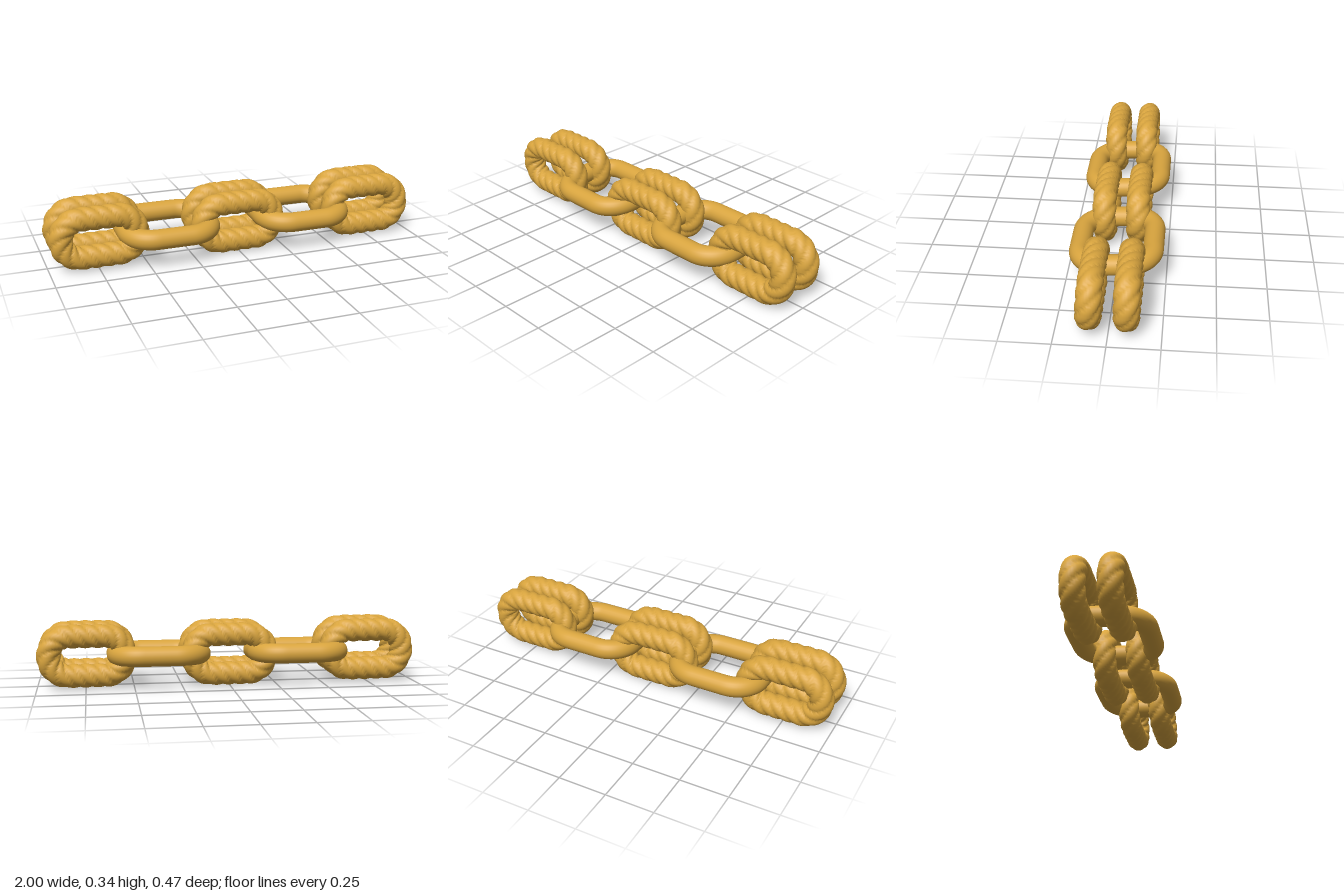
import * as THREE from 'three';

// Closed rounded-rectangle path in XY, counter-clockwise
function roundedPath(hx, hy, r) {
  const s = new THREE.Shape();
  s.moveTo(hx, r - hy);
  s.absarc(hx - r, hy - r, r, 0, Math.PI / 2);
  s.absarc(r - hx, hy - r, r, Math.PI / 2, Math.PI);
  s.absarc(r - hx, r - hy, r, Math.PI, Math.PI * 1.5);
  s.absarc(hx - r, r - hy, r, Math.PI * 1.5, Math.PI * 2);
  return s;
}

// Sweep a section radius(angle, u) around a closed planar path
function sweepLoop(path, steps, sides, radius) {
  const pts = path.getSpacedPoints(steps).slice(0, steps);
  const pos = [], index = [];
  for (let i = 0; i < steps; i++) {
    const t = pts[(i + 1) % steps].clone().sub(pts[(i + steps - 1) % steps]).normalize();
    for (let j = 0; j < sides; j++) {
      const a = (j / sides) * Math.PI * 2;
      const r = radius(a, i / steps);
      const out = r * Math.cos(a);
      pos.push(pts[i].x + t.y * out, pts[i].y - t.x * out, r * Math.sin(a));
      const i2 = (i + 1) % steps, j2 = (j + 1) % sides;
      const p = i * sides + j, q = i2 * sides + j;
      const s = i2 * sides + j2, w = i * sides + j2;
      index.push(p, q, s, p, s, w);
    }
  }
  const g = new THREE.BufferGeometry();
  g.setAttribute('position', new THREE.Float32BufferAttribute(pos, 3));
  g.setIndex(index);
  g.computeVertexNormals();
  return g;
}

export function createModel() {
  const model = new THREE.Group();
  model.name = 'chain';
  const gold = new THREE.MeshStandardMaterial({ color: 0xd8a43e });
  gold.name = 'gold';

  // Twisted rope link: four strands, four turns around the loop
  const strands = 4, turns = 4;
  const ropeGeo = sweepLoop(roundedPath(0.196, 0.103, 0.1), 192, 32, (a, u) =>
    0.051 + 0.011 * Math.sqrt(Math.abs(Math.cos((strands / 2) * (a + u * turns * Math.PI * 2)))));

  // Plain smooth link
  const plainGeo = sweepLoop(roundedPath(0.22, 0.183, 0.13), 96, 24, () => 0.052);

  // Three pairs of upright rope links: x, y, lean of the front and back link
  const pairs = [
    [-0.742, 0.175, 0.03, 0.02],
    [-0.002, 0.166, 0, 0],
    [0.742, 0.171, -0.06, -0.02],
  ];
  for (const [x, y, leanFront, leanBack] of pairs) {
    for (const side of [1, -1]) {
      const link = new THREE.Mesh(ropeGeo, gold);
      link.name = side > 0 ? 'frontRopeLink' : 'backRopeLink';
      link.position.set(x, y, side * 0.087);
      link.rotation.x = side > 0 ? leanFront : leanBack;
      model.add(link);
    }
  }

  // Two flat plain links joining the pairs, tilted slightly down at the front
  for (const x of [-0.372, 0.368]) {
    const link = new THREE.Mesh(plainGeo, gold);
    link.name = 'plainLink';
    link.position.set(x, 0.165, 0);
    link.rotation.x = -Math.PI / 2 + 0.055;
    model.add(link);
  }
  return model;
}
